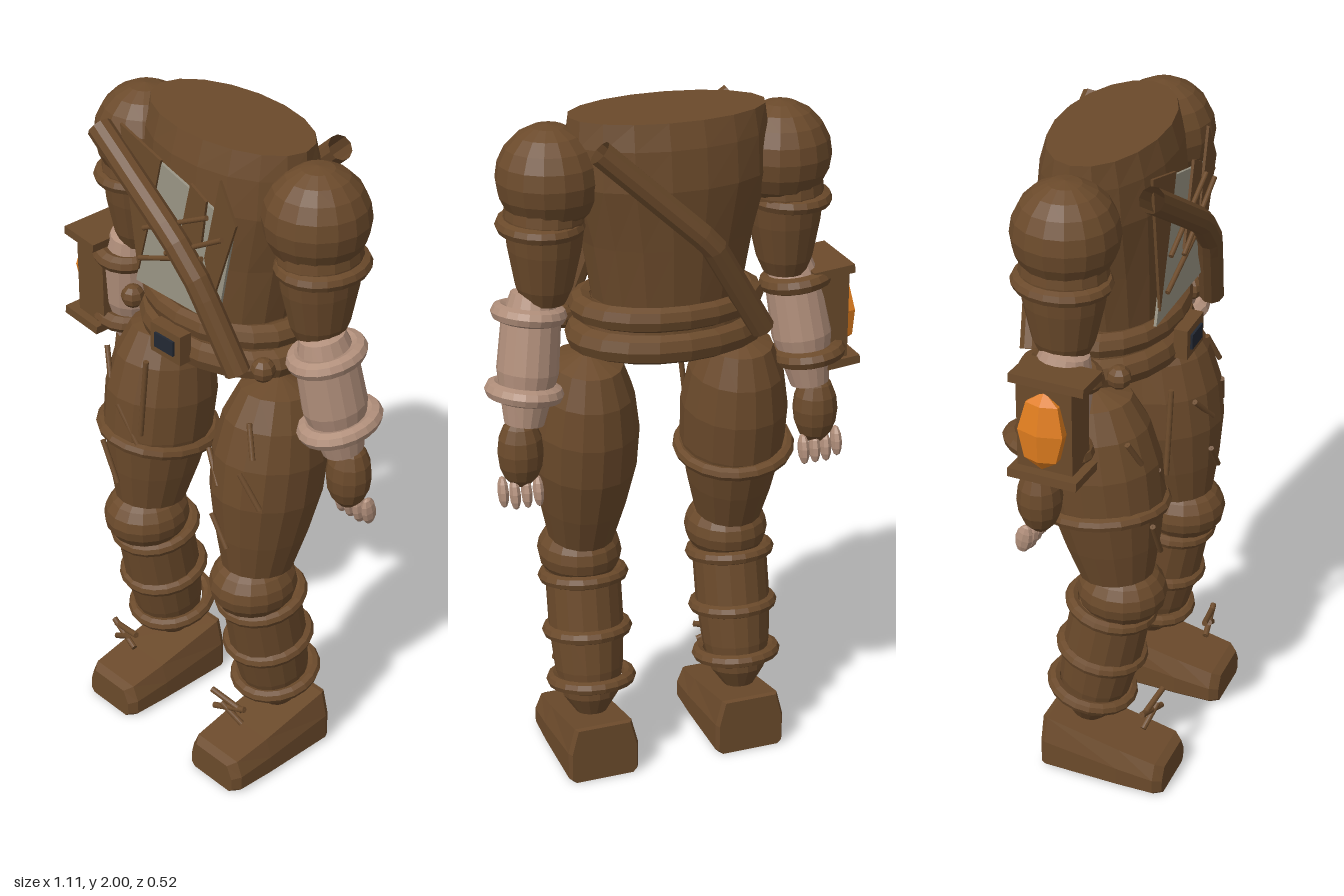
import * as THREE from 'three';

const mat = (name, color) => {
  const m = new THREE.MeshStandardMaterial({ color, flatShading: true, side: THREE.DoubleSide });
  m.name = name;
  return m;
};
const V = (x, y, z) => new THREE.Vector3(x, y, z);
const CX = 0.025; // body centre line

export function createModel() {
  const leather = mat('brown leather', 0x6b4a2b);
  const skin = mat('skin', 0xb18f7b);
  const cloth = mat('grey cloth', 0x9a9585);
  const crystalOrange = mat('orange crystal', 0xde7c1e);
  const darkInset = mat('dark inset', 0x222833);

  const model = new THREE.Group();
  model.name = 'armouredBody';
  const add = (name, geo, m, pos = V(0, 0, 0), parent = model) => {
    const mesh = new THREE.Mesh(geo, m);
    mesh.name = name;
    mesh.position.copy(pos);
    parent.add(mesh);
    return mesh;
  };
  // Turned limb between two points; profile = [radius, fraction from a to b]
  const limb = (name, a, b, profile, m, zs = 1) => {
    const len = a.distanceTo(b);
    const g = new THREE.LatheGeometry(profile.map(([r, t]) => new THREE.Vector2(r, t * len)), 16);
    g.scale(1, 1, zs);
    const mesh = add(name, g, m, a);
    mesh.quaternion.setFromUnitVectors(V(0, 1, 0), b.clone().sub(a).normalize());
    return mesh;
  };
  // Strap ring around an axis
  const ring = (name, c, axis, rx, rz, tube, m) => {
    const g = new THREE.TorusGeometry(1, tube / rx, 8, 20);
    g.rotateX(Math.PI / 2);
    g.scale(rx, rx, rz);
    const mesh = add(name, g, m, c);
    mesh.quaternion.setFromUnitVectors(V(0, 1, 0), axis.clone().normalize());
    return mesh;
  };
  const ball = (name, c, rx, ry, rz, m, ws = 16, hs = 10) => {
    const g = new THREE.SphereGeometry(1, ws, hs);
    g.scale(rx, ry, rz);
    return add(name, g, m, c);
  };
  const stick = (name, a, b, r = 0.008) => limb(name, a, b, [[0.001, 0], [r, 0], [r, 1], [0.001, 1]], leather);
  const plate = (name, pts, z, m) => {
    const s = new THREE.Shape(pts.map(([x, y]) => new THREE.Vector2(x, y)));
    return add(name, new THREE.ExtrudeGeometry(s, { depth: 0.008, bevelEnabled: false }), m, V(0, 0, z));
  };
  // Skin through equal loops of points, capped at both ends
  const loft = (loops) => {
    const n = loops[0].length, pos = [], idx = [];
    loops.forEach(l => l.forEach(p => pos.push(p.x, p.y, p.z)));
    for (let k = 0; k < loops.length - 1; k++) for (let i = 0; i < n; i++) {
      const a = k * n + i, b = k * n + (i + 1) % n;
      idx.push(a, b, b + n, a, b + n, a + n);
    }
    const top = (loops.length - 1) * n;
    for (let i = 1; i < n - 1; i++) idx.push(0, i + 1, i, top, top + i, top + i + 1);
    const g = new THREE.BufferGeometry();
    g.setAttribute('position', new THREE.Float32BufferAttribute(pos, 3));
    g.setIndex(idx);
    g.computeVertexNormals();
    return g;
  };

  // Torso: [y, half width, half depth, z centre]
  const torso = [[1.34, 0.25, 0.18, -0.02], [1.48, 0.215, 0.165, -0.02], [1.65, 0.245, 0.175, -0.025],
    [1.82, 0.29, 0.185, -0.03], [1.93, 0.288, 0.172, -0.03], [2, 0.28, 0.15, -0.03]];
  add('torso', loft(torso.map(([y, rx, rz, cz]) => Array.from({ length: 18 }, (_, i) => {
    const a = i / 18 * Math.PI * 2;
    return V(CX + rx * Math.cos(a), y, cz - rz * Math.sin(a));
  }))), leather);

  // Belts, buckle and side knobs
  ring('upperBelt', V(CX, 1.455, -0.02), V(0, 1, 0), 0.245, 0.175, 0.036, leather);
  ring('lowerBelt', V(CX, 1.37, -0.02), V(0, 1, 0), 0.25, 0.178, 0.042, leather);
  add('buckle', new THREE.BoxGeometry(0.12, 0.09, 0.04), leather, V(CX, 1.4, 0.195));
  add('buckleInset', new THREE.BoxGeometry(0.075, 0.045, 0.008), darkInset, V(CX, 1.4, 0.218));
  for (const s of [-1, 1]) ball('beltKnob', V(CX + s * 0.265, 1.39, 0.1), 0.035, 0.035, 0.035, leather, 8, 6);

  // Torn shirt front with leather shards and stitches
  plate('shirtPanel', [[-0.145, 1.51], [0.18, 1.51], [0.245, 1.83], [-0.04, 1.91]], 0.16, cloth);
  plate('shirtShard', [[0.09, 1.9], [0.15, 1.87], [0.13, 1.74], [0.03, 1.66]], 0.17, leather);
  plate('shirtShard', [[0.2, 1.95], [0.26, 1.84], [0.17, 1.58], [0.14, 1.7]], 0.168, leather);
  plate('shirtShard', [[-0.19, 1.97], [-0.03, 1.92], [-0.07, 1.76], [-0.13, 1.55]], 0.166, leather);
  stick('stitch', V(-0.09, 1.7, 0.185), V(0.16, 1.83, 0.185), 0.007);
  stick('stitch', V(-0.11, 1.6, 0.185), V(0.14, 1.7, 0.185), 0.007);
  stick('stitch', V(0.0, 1.66, 0.187), V(0.22, 1.79, 0.187), 0.007);

  // Bandolier, front and back
  const bandolier = (name, pts) => {
    const path = new THREE.CurvePath();
    for (let i = 0; i < pts.length - 1; i++) path.add(new THREE.LineCurve3(pts[i], pts[i + 1]));
    add(name, new THREE.TubeGeometry(path, 14, 0.036, 10), leather);
  };
  bandolier('frontBandolier', [V(-0.25, 1.945, 0.195), V(0.06, 1.74, 0.212), V(0.15, 1.64, 0.205), V(0.265, 1.4, 0.17)]);
  bandolier('backBandolier', [V(0.27, 1.945, -0.19), V(-0.03, 1.67, -0.226), V(-0.2, 1.39, -0.175)]);

  for (const s of [-1, 1]) {
    const side = s > 0 ? 'left' : 'right';
    const P = (d, y, z) => V(CX + s * d, y, z);

    // Arm
    ball(side + 'Shoulder', P(0.333, 1.838, -0.02), 0.145, 0.148, 0.147, leather);
    limb(side + 'UpperArm', P(0.355, 1.48, -0.02), P(0.345, 1.84, -0.02),
      [[0.001, 0], [0.06, 0.03], [0.078, 0.15], [0.1, 0.45], [0.11, 0.7], [0.1, 0.95], [0.001, 1]], leather, 1.12);
    ring(side + 'ArmBand', P(0.36, 1.71, -0.02), V(0, 1, 0), 0.1, 0.115, 0.022, leather);
    const wrist = P(0.43, 1.14, -0.05), elbow = P(0.378, 1.53, 0);
    limb(side + 'Forearm', wrist, elbow,
      [[0.001, 0], [0.055, 0.02], [0.068, 0.18], [0.086, 0.4], [0.082, 0.75], [0.06, 0.95], [0.001, 1]], skin, 1.1);
    const axis = elbow.clone().sub(wrist);
    const bandMat = s > 0 ? skin : leather;
    ring(side + 'UpperBracer', P(0.395, 1.455, -0.008), axis, 0.08, 0.09, 0.025, bandMat);
    ring(side + 'LowerBracer', P(0.423, 1.24, -0.038), axis, 0.084, 0.1, 0.025, bandMat);
    ball(side + 'Hand', P(0.444, 1.07, -0.058), 0.066, 0.108, 0.064, leather, 12, 8);
    for (let i = 0; i < 4; i++) {
      const f = ball(side + 'Finger', P(0.402 + i * 0.034, 0.952 + (i === 3 ? 0.012 : 0), -0.08), 0.016, 0.046, 0.026, skin, 8, 6);
      f.rotation.x = 0.2;
    }

    // Leg
    limb(side + 'Thigh', P(0.23, 0.71, 0.08), P(0.225, 1.32, 0.0),
      [[0.001, 0], [0.098, 0.02], [0.125, 0.2], [0.15, 0.42], [0.153, 0.62], [0.135, 0.8], [0.1, 0.94], [0.001, 1]], leather, 1.13);
    ball(side + 'Knee', P(0.23, 0.66, 0.095), 0.123, 0.1, 0.132, leather);
    const heel = P(0.235, 0.17, -0.015), shinTop = P(0.23, 0.62, 0.07);
    limb(side + 'Shin', heel, shinTop,
      [[0.001, 0], [0.045, 0.01], [0.082, 0.13], [0.1, 0.32], [0.11, 0.6], [0.11, 0.92], [0.001, 1]], leather, 1.08);
    const shinAxis = shinTop.clone().sub(heel);
    for (const [y, z] of [[0.595, 0.062], [0.43, 0.032], [0.28, 0.0]])
      ring(side + 'ShinStrap', P(0.23, y, z), shinAxis, 0.113, 0.117, 0.02, leather);

    // Boot: [z, half width, top height], chamfered cross-sections
    const boot = [[-0.125, 0.1, 0.173], [-0.11, 0.108, 0.175], [0.12, 0.108, 0.127], [0.235, 0.104, 0.105], [0.26, 0.086, 0.092]];
    add(side + 'Boot', loft(boot.map(([z, w, h]) => [
      [-w + 0.012, 0], [w - 0.012, 0], [w, 0.012], [w, h * 0.55], [w - 0.02, h], [-w + 0.02, h], [-w, h * 0.55], [-w, 0.012],
    ].map(([x, y]) => V(x, y, z)))), leather, P(0.232, 0, 0));

    // Loose boot laces
    for (const [x1, y1, x2, y2] of [[-0.06, 0.275, 0.05, 0.25], [-0.05, 0.22, 0.06, 0.26], [-0.02, 0.25, 0.05, 0.2]])
      stick(side + 'Lace', P(0.23 + x1, y1, 0.2), P(0.23 + x2, y2, 0.183), 0.009);
  }

  // Thigh band and ragged seams
  ring('rightThighBand', V(-0.205, 0.95, 0.04), V(0.1, 1, -0.13), 0.156, 0.172, 0.02, leather);
  for (const [x1, y1, z1, x2, y2, z2] of [
    [-0.085, 1.28, 0.19, -0.115, 1.02, 0.19], [-0.3, 1.22, 0.15, -0.26, 1.14, 0.175], [-0.2, 1.09, 0.2, -0.13, 0.98, 0.19],
    [-0.26, 0.94, 0.21, -0.2, 0.82, 0.21], [0.15, 1.1, 0.17, 0.22, 1.02, 0.2], [0.29, 1.24, 0.15, 0.33, 1.15, 0.175],
    [0.3, 1.1, 0.195, 0.36, 1.0, 0.175], [0.2, 0.92, 0.205, 0.26, 0.83, 0.205]])
    stick('thighSeam', V(x1, y1, z1), V(x2, y2, z2));

  // Crystal case strapped to the right forearm
  const device = new THREE.Group();
  device.name = 'crystalCase';
  model.add(device);
  add('casePlate', new THREE.BoxGeometry(0.11, 0.27, 0.16), leather, V(-0.45, 1.35, 0), device);
  add('caseTop', new THREE.BoxGeometry(0.125, 0.025, 0.215), leather, V(-0.452, 1.49, 0.01), device).rotation.z = -0.1;
  add('caseBottom', new THREE.BoxGeometry(0.14, 0.025, 0.2), leather, V(-0.47, 1.21, 0.005), device).rotation.z = -0.1;
  const crystal = add('crystal', new THREE.SphereGeometry(1, 6, 4), crystalOrange, V(-0.512, 1.355, 0), device);
  crystal.scale.set(0.042, 0.115, 0.075);
  crystal.rotation.z = -0.1;

  return model;
}
